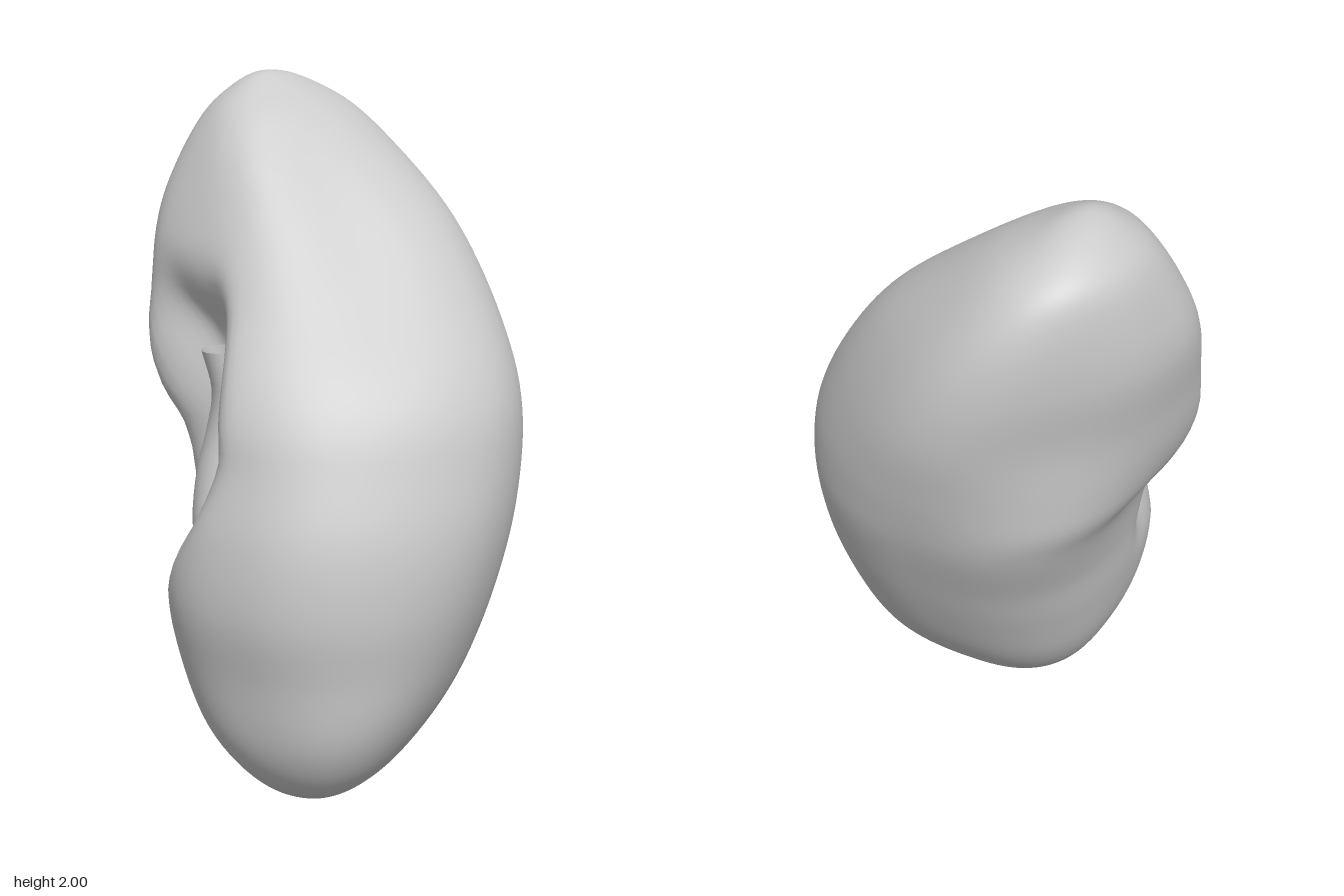
import * as THREE from 'three';

// Outline of the bean by height: y, xMin, xMax, zMin, zMax
const OUTLINE = [
  [0, 0.12, 0.12, 0.30, 0.30],
  [0.02, 0.02, 0.22, 0.21, 0.40],
  [0.1, -0.11, 0.33, 0.05, 0.49],
  [0.2, -0.20, 0.40, -0.07, 0.54],
  [0.4, -0.30, 0.49, -0.24, 0.58],
  [0.6, -0.345, 0.55, -0.35, 0.615],
  [0.8, -0.37, 0.58, -0.44, 0.60],
  [1.0, -0.42, 0.575, -0.52, 0.545],
  [1.1, -0.48, 0.56, -0.55, 0.52],
  [1.2, -0.51, 0.525, -0.575, 0.475],
  [1.4, -0.53, 0.41, -0.61, 0.345],
  [1.6, -0.55, 0.26, -0.605, 0.225],
  [1.8, -0.525, 0.03, -0.55, 0.10],
  [1.9, -0.49, -0.11, -0.48, 0.01],
  [1.96, -0.43, -0.22, -0.38, -0.08],
  [2, -0.33, -0.33, -0.20, -0.20],
];

// Fullness of the four corners by height: y, front left, front right, back right, back left
const CORNERS = [
  [0, 0, 0, 0, 0], [0.1, 0.05, 0.03, 0.06, 0.04], [0.25, 0.06, 0.06, 0.10, 0.08],
  [0.5, 0, 0.07, 0.08, 0.04], [0.75, -0.03, 0.06, 0.10, 0.01], [1.0, -0.05, 0.03, 0.12, -0.02],
  [1.2, -0.06, 0, 0.02, -0.04], [1.4, -0.10, 0, -0.06, -0.07], [1.6, -0.14, 0, -0.07, -0.08],
  [1.8, -0.12, 0, -0.05, -0.05], [1.95, 0, 0, 0, 0], [2, 0, 0, 0, 0],
];

// Hollow by height: y, depth, angle in degrees, angular width, bulge of the lip beside it
const HOLLOW = [
  [0, 0, 155, 0.25, 0], [0.55, 0, 155, 0.25, 0], [0.64, 0.02, 154, 0.25, 0],
  [0.72, 0.10, 150, 0.26, 0], [0.8, 0.20, 145, 0.27, 0], [0.9, 0.31, 139, 0.28, 0],
  [1.0, 0.39, 134, 0.29, 0.02], [1.1, 0.43, 131, 0.29, 0.07], [1.2, 0.43, 128, 0.28, 0.11],
  [1.3, 0.36, 126, 0.27, 0.14], [1.4, 0.14, 124, 0.27, 0.15], [1.5, 0.02, 122, 0.27, 0.16],
  [1.65, 0, 120, 0.27, 0.16], [1.8, 0, 120, 0.27, 0.11], [1.92, 0, 120, 0.27, 0.03], [2, 0, 120, 0.27, 0],
];
const LIP_ANGLE = 2.66;

const toT = (y) => Math.acos(1 - y) / Math.PI;

// Interpolator over a table whose first column is the height
function table(rows, Kind) {
  const size = rows[0].length - 1;
  return new Kind(rows.map((r) => toT(r[0])), rows.flatMap((r) => r.slice(1)), size, new Float32Array(size));
}

// Skin a stack of closed rings; point(k, angle) gives [x, y, z]
function loft(rings, sides, point) {
  const pos = [], idx = [];
  for (let k = 0; k <= rings; k++) {
    for (let j = 0; j < sides; j++) pos.push(...point(k, (j / sides) * Math.PI * 2));
  }
  for (let k = 0; k < rings; k++) {
    for (let j = 0; j < sides; j++) {
      const a = k * sides + j, d = k * sides + ((j + 1) % sides);
      idx.push(a, a + sides, d, d, a + sides, d + sides);
    }
  }
  const geo = new THREE.BufferGeometry();
  geo.setAttribute('position', new THREE.Float32BufferAttribute(pos, 3));
  geo.setIndex(idx);
  geo.computeVertexNormals();
  return geo;
}

export function createModel() {
  const group = new THREE.Group();
  group.name = 'kidney';
  const add = (name, geo, side) => {
    const mesh = new THREE.Mesh(geo, new THREE.MeshStandardMaterial({ color: 0xcccccc, side }));
    mesh.name = name;
    group.add(mesh);
  };

  // Leaning bean body with a hollow pressed into its front right
  const outline = table(OUTLINE, THREE.CubicInterpolant);
  const corners = table(CORNERS, THREE.CubicInterpolant);
  const hollow = table(HOLLOW, THREE.LinearInterpolant);
  const rings = 90;
  add('beanBody', loft(rings, 120, (k, a) => {
    const t = THREE.MathUtils.clamp(k / rings, 0.0005, 0.9995);
    const [x0, x1, z0, z1] = outline.evaluate(t);
    // average neighbouring heights to soften the rim of the hollow
    const h = [0, 0, 0, 0];
    for (const s of [-0.015, 0, 0.015]) {
      const v = hollow.evaluate(THREE.MathUtils.clamp(t + s, 0, 1));
      for (let i = 0; i < 4; i++) h[i] += v[i] / 3;
    }
    const off = (a - THREE.MathUtils.degToRad(h[1])) / h[2];
    const lip = (a - LIP_ANGLE) / 0.3;
    const corner = corners.evaluate(t)[Math.floor(a / (Math.PI / 2)) % 4];
    const f = (1 - h[0] * Math.exp(-(off ** 4) / 4))
      * (1 + corner * Math.sin(2 * a) ** 2 + h[3] * Math.exp(-lip * lip / 2));
    return [
      (x0 + x1) / 2 + f * Math.cos(a) * (x1 - x0) / 2,
      1 - Math.cos(Math.PI * t),
      (z0 + z1) / 2 + f * Math.sin(a) * (z1 - z0) / 2,
    ];
  }), THREE.FrontSide);

  // Funnel inside the hollow, open at its narrow top: x, y, z, radius
  const funnel = [
    [-0.15, 0.62, 0.28, 0.10], [-0.17, 0.76, 0.24, 0.12], [-0.18, 0.90, 0.20, 0.12],
    [-0.18, 1.03, 0.20, 0.09], [-0.18, 1.14, 0.23, 0.06], [-0.20, 1.26, 0.26, 0.055],
  ];
  const steps = 20;
  const path = new THREE.CatmullRomCurve3(funnel.map(([x, y, z]) => new THREE.Vector3(x, y, z)));
  const radius = new THREE.SplineCurve(funnel.map((p, i) => new THREE.Vector2(i, p[3])));
  add('funnel', loft(steps, 28, (k, a) => {
    const p = path.getPoint(k / steps), r = radius.getPoint(k / steps).y;
    return [p.x + r * Math.cos(a), p.y, p.z + 1.15 * r * Math.sin(a)];
  }), THREE.DoubleSide);

  return group;
}
